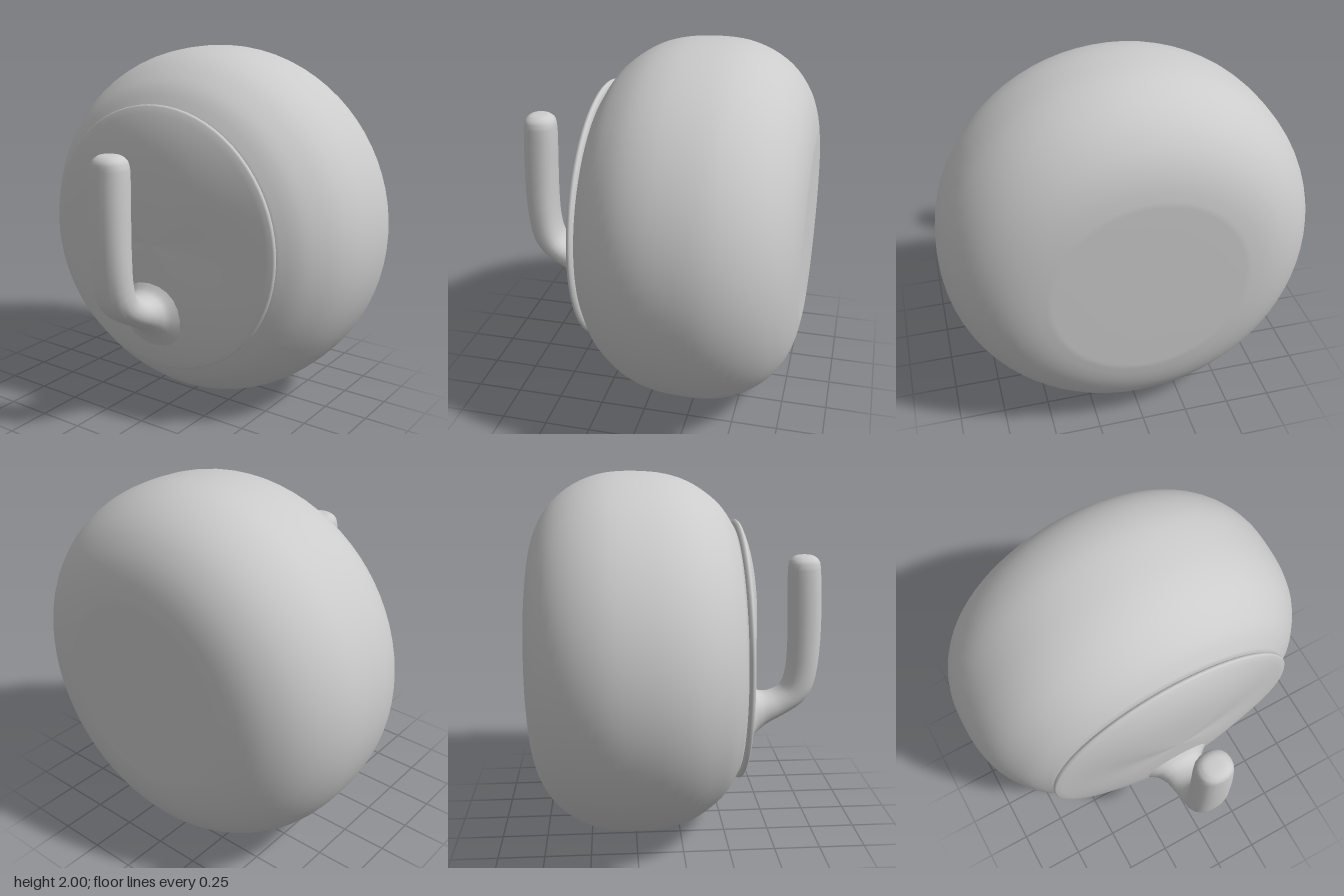
import * as THREE from 'three';
import { mergeVertices } from 'three/addons/utils/BufferGeometryUtils.js';

const material = new THREE.MeshStandardMaterial({ color: 0xcccccc });

function part(name, geometry) {
  const mesh = new THREE.Mesh(geometry, material);
  mesh.name = name;
  return mesh;
}

// Turns a [radius, z] profile (back to front) about the z axis.
function turned(profile, segments) {
  const pts = profile.map(([r, z]) => new THREE.Vector2(r, z));
  return new THREE.LatheGeometry(pts, segments).rotateX(Math.PI / 2);
}

// Rounded drum with a flat back
function bodyGeometry() {
  const curve = new THREE.SplineCurve([
    [0.5, -0.82], [0.62, -0.8], [0.74, -0.755], [0.85, -0.675], [0.93, -0.57],
    [0.98, -0.45], [1, -0.33], [1, -0.18], [0.985, -0.06], [0.95, 0.05],
    [0.89, 0.15], [0.81, 0.24], [0.7, 0.31],
  ].map(([r, z]) => new THREE.Vector2(r, z)));
  const side = curve.getPoints(36).map((p) => [p.x, p.y]);
  return turned([[0, -0.82], [0.25, -0.82], ...side, [0, 0.32]], 72);
}

// Disc with a thin rounded rim; its dome is flatter along y than along x
function plateGeometry() {
  const R = 0.722;
  const profile = [[0, 0.31], [0.69, 0.307], [0.715, 0.311], [0.73, 0.32], [0.73, 0.331], [R, 0.34]];
  for (let i = 19; i >= 0; i--) profile.push([R * i / 20, 0.425]);
  let g = turned(profile, 72);
  const p = g.attributes.position;
  for (let i = 0; i < p.count; i++) {
    if (p.getZ(i) < 0.42) continue;
    const x = p.getX(i), y = p.getY(i), r = Math.hypot(x, y);
    const power = 1.3 + 2.7 * (r > 0 ? (y / r) ** 2 : 0);
    p.setZ(i, 0.425 - 0.085 * (r / R) ** power);
  }
  g.deleteAttribute('normal');
  g.deleteAttribute('uv');
  g = mergeVertices(g, 1e-4);
  g.computeVertexNormals();
  return g;
}

// Bent peg lofted through oval sections: inner z, y, outer z, y, half width
function hookGeometry() {
  const sections = [
    [0.39, 0.84, 0.36, 0.38, 0.25], [0.425, 0.785, 0.4, 0.435, 0.19],
    [0.455, 0.75, 0.445, 0.495, 0.145], [0.5, 0.737, 0.51, 0.55, 0.122],
    [0.56, 0.75, 0.62, 0.61, 0.11], [0.607, 0.79, 0.725, 0.68, 0.108],
    [0.63, 0.87, 0.785, 0.77, 0.11], [0.638, 1, 0.817, 0.97, 0.112],
    [0.633, 1.25, 0.82, 1.25, 0.108], [0.628, 1.46, 0.808, 1.46, 0.102],
    [0.637, 1.505, 0.8, 1.505, 0.09], [0.667, 1.53, 0.772, 1.53, 0.058],
    [0.72, 1.535, 0.72, 1.535, 0],
  ];
  const spline = (f) => new THREE.CatmullRomCurve3(sections.map(f), false, 'centripetal');
  const inner = spline((s) => new THREE.Vector3(0, s[1], s[0]));
  const outer = spline((s) => new THREE.Vector3(0, s[3], s[2]));
  const widths = sections.map((s) => s[4]);
  const rows = (sections.length - 1) * 3, sides = 20;
  const positions = [], index = [];
  for (let i = 0; i <= rows; i++) {
    const t = i / rows, k = Math.min(Math.floor(i / 3), sections.length - 2);
    const w = THREE.MathUtils.lerp(widths[k], widths[k + 1], i / 3 - k);
    const a = inner.getPoint(t), b = outer.getPoint(t);
    const mid = a.clone().add(b).multiplyScalar(0.5), half = b.sub(a).multiplyScalar(0.5);
    for (let j = 0; j < sides; j++) {
      const ang = (j / sides) * Math.PI * 2;
      // slightly squared oval
      const c = Math.sign(Math.cos(ang)) * Math.abs(Math.cos(ang)) ** 0.9;
      const s = Math.sign(Math.sin(ang)) * Math.abs(Math.sin(ang)) ** 0.9;
      positions.push(0.006 + w * s, mid.y + half.y * c, mid.z + half.z * c);
      if (i === rows) continue;
      const p = i * sides + j, q = i * sides + (j + 1) % sides;
      index.push(p, q, q + sides, p, q + sides, p + sides);
    }
  }
  const g = new THREE.BufferGeometry();
  g.setAttribute('position', new THREE.Float32BufferAttribute(positions, 3));
  g.setIndex(index);
  const merged = mergeVertices(g, 1e-4);
  merged.computeVertexNormals();
  return merged;
}

export function createModel() {
  const model = new THREE.Group();
  model.name = 'wallHookKnob';
  const body = part('body', bodyGeometry());
  const plate = part('frontPlate', plateGeometry());
  body.position.y = 1;
  plate.position.y = 1.004;
  model.add(body, plate, part('hook', hookGeometry()));
  return model;
}
